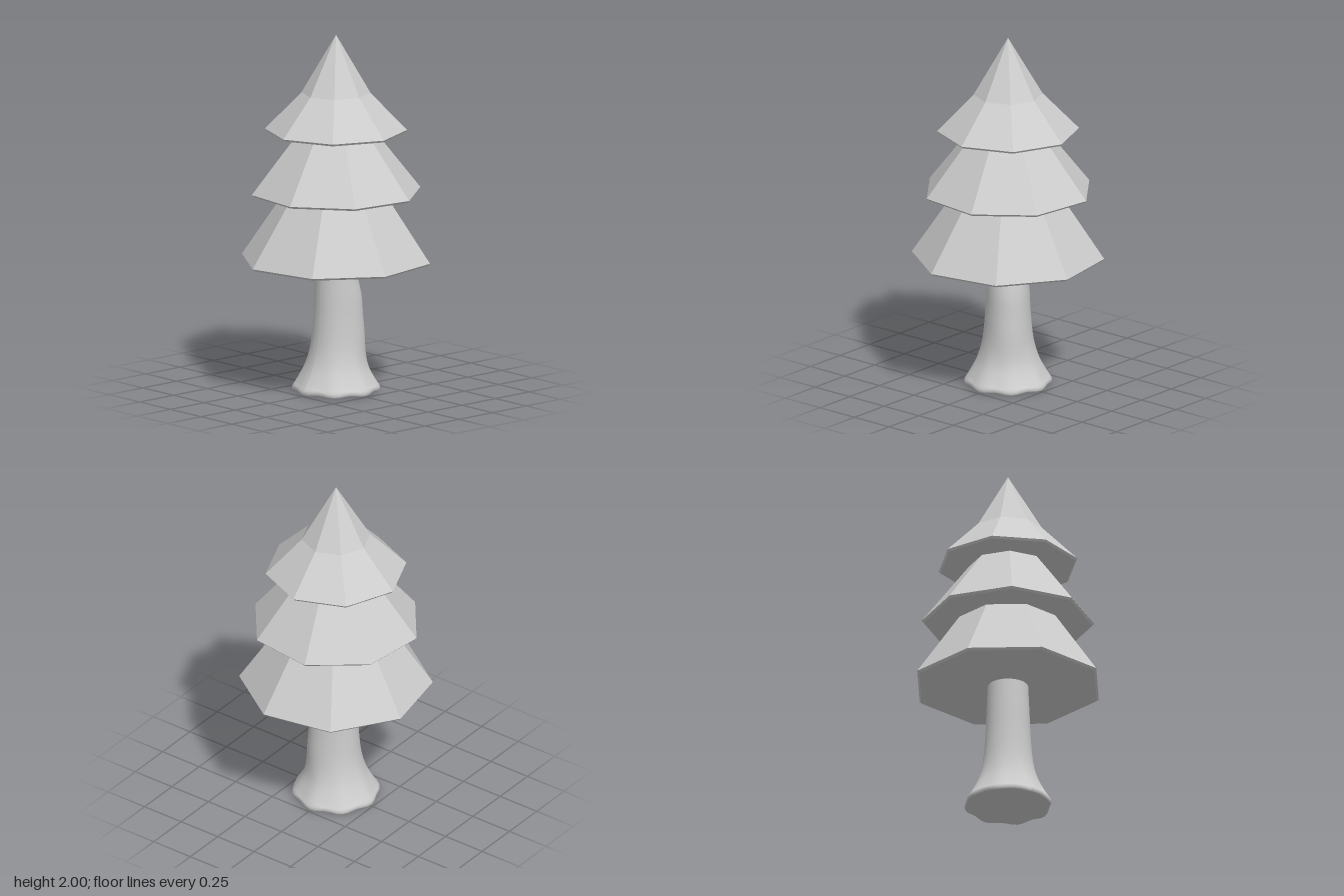
import * as THREE from 'three';

const v2 = (list) => list.map(([r, y]) => new THREE.Vector2(r, y));

// One eight-sided layer of foliage; turn is the angle of a corner from +x towards +z
function makeTier(name, profile, turn) {
  const start = Math.PI / 2 - THREE.MathUtils.degToRad(turn);
  const geometry = new THREE.LatheGeometry(v2(profile), 8, start);
  const material = new THREE.MeshStandardMaterial({ color: 0xcccccc, flatShading: true });
  const mesh = new THREE.Mesh(geometry, material);
  mesh.name = name;
  return mesh;
}

// Flared trunk with a lobed foot and a soft bulge on one side
function makeTrunk() {
  const curve = new THREE.SplineCurve(v2([
    [0.235, 0.03], [0.2, 0.09], [0.165, 0.165], [0.139, 0.27],
    [0.125, 0.42], [0.118, 0.58], [0.111, 0.74],
  ]));
  const profile = [...v2([[0, 0.004], [0.23, 0.004], [0.237, 0.015]]), ...curve.getPoints(20)];
  const geometry = new THREE.LatheGeometry(profile, 48);
  const p = geometry.attributes.position;
  for (let i = 0; i < p.count; i++) {
    const x = p.getX(i), y = p.getY(i), z = p.getZ(i);
    const angle = Math.atan2(z, x);
    const foot = Math.max(0, 1 - y / 0.25);
    const lobes = 1 + 0.025 * foot * Math.cos(8 * angle);
    const height = THREE.MathUtils.smoothstep(y, 0.1, 0.35) * (1 - THREE.MathUtils.smoothstep(y, 0.5, 0.7));
    const side = Math.max(0, Math.cos(angle + Math.PI / 4)) ** 3;
    const scale = lobes + 0.2 * height * side;
    // The lower rim rises slightly between the lobes
    const lift = y < 0.04 && Math.hypot(x, z) > 0.2 ? 0.004 * (1 - Math.cos(8 * angle)) : 0;
    p.setXYZ(i, x * scale, y + lift, z * scale);
  }
  geometry.computeVertexNormals();
  const mesh = new THREE.Mesh(geometry, new THREE.MeshStandardMaterial({ color: 0xcccccc }));
  mesh.name = 'trunk';
  return mesh;
}

export function createModel() {
  const tree = new THREE.Group();
  tree.name = 'tree';
  tree.add(
    makeTrunk(),
    makeTier('lowerFoliage', [[0, 0.73], [0.52, 0.73], [0.532, 0.742], [0.283, 1.112]], 11.5),
    makeTier('middleFoliage', [[0, 1.11], [0.462, 1.11], [0.474, 1.122], [0.208, 1.462]], 29.5),
    makeTier('upperFoliage', [[0, 1.457], [0.38, 1.457], [0.39, 1.469], [0.19, 1.675], [0, 2]], 0),
  );
  return tree;
}
